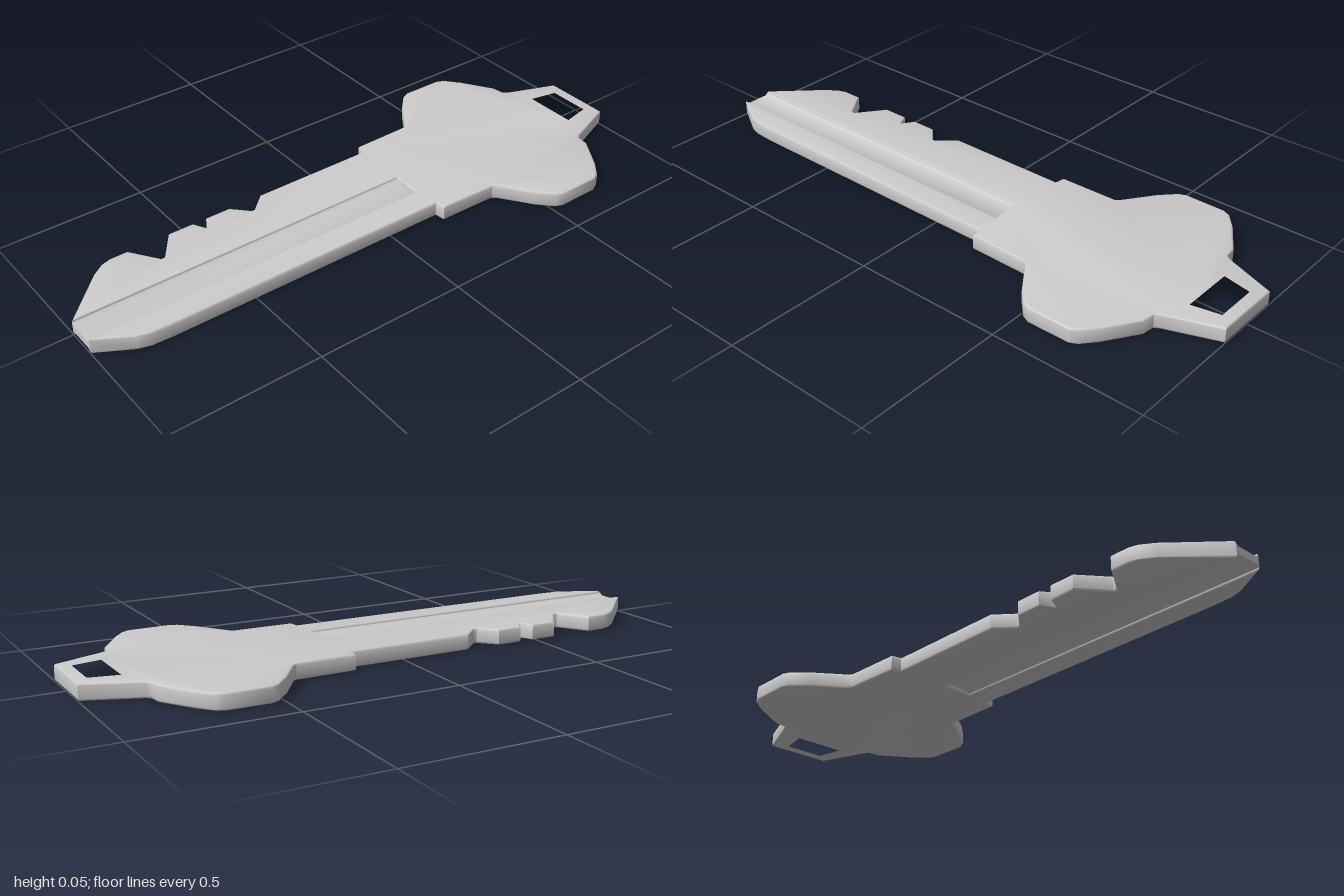
import * as THREE from 'three';
import { toCreasedNormals } from 'three/addons/utils/BufferGeometryUtils.js';

const THICK = 0.052, BEVEL = 0.007;
const GROOVE_X = 0.1, GROOVE_Z = -0.17;

// Points are [x, z] on the ground plane; shapes are drawn with y = -z.
const toPoints = (list) => list.map(([x, z]) => new THREE.Vector2(x, -z));
const mirror = (list) => list.map(([x, z]) => [-x, z]).reverse();

export function createModel() {
  const group = new THREE.Group();
  const material = new THREE.MeshStandardMaterial({ color: 0xcccccc });

  // Half outline of loop, head and collar, from the back to the blade
  const head = [
    [0.115, -1], [0.18, -0.83], [0.19, -0.817], [0.23, -0.812], [0.335, -0.745],
    [0.382, -0.705], [0.395, -0.68], [0.396, -0.54], [0.385, -0.515], [0.335, -0.468],
    [0.235, -0.398], [0.225, -0.385], [0.221, -0.185], [0.187, -0.18],
  ];
  // Plain edge of the blade, then the groove slot open at the tip
  const plainEdge = [[0.182, 0.78], [0.178, 0.85], [0.166, 0.89], [GROOVE_X, 1]];
  const slot = [[GROOVE_X, GROOVE_Z], [0, GROOVE_Z]];
  // Cut edge of the blade, from the tip back to the collar
  const cutEdge = [
    [0, 1], [-0.15, 0.85], [-0.178, 0.81], [-0.187, 0.78], [-0.187, 0.718], [-0.095, 0.655],
    [-0.095, 0.643], [-0.187, 0.575], [-0.187, 0.488], [-0.143, 0.466], [-0.187, 0.44],
    [-0.187, 0.355], [-0.134, 0.305], [-0.134, 0.295], [-0.187, 0.237],
  ];
  const outline = new THREE.Shape(
    toPoints([...head, ...plainEdge, ...slot, ...cutEdge, ...mirror(head)]));

  // Opening for the key ring
  outline.holes.push(new THREE.Path(
    toPoints([[-0.077, -0.967], [0.077, -0.967], [0.098, -0.86], [-0.098, -0.86]])));

  const bodyGeometry = new THREE.ExtrudeGeometry(outline, {
    depth: THICK - 2 * BEVEL,
    bevelEnabled: true, bevelThickness: BEVEL, bevelSize: BEVEL,
    bevelOffset: -BEVEL, bevelSegments: 3,
  });
  bodyGeometry.translate(0, 0, BEVEL).rotateX(-Math.PI / 2);
  const body = new THREE.Mesh(toCreasedNormals(bodyGeometry, 0.6), material);
  body.name = 'keyBody';
  group.add(body);

  // Thin web between the grooves on both faces, flared into the slot walls
  const web = new THREE.Shape([
    [0, 0.007], [0.01, 0.014], [0.09, 0.014], [GROOVE_X, 0.007],
    [GROOVE_X, 0.045], [0.09, 0.038], [0.01, 0.038], [0, 0.045],
  ].map(([x, y]) => new THREE.Vector2(x, y)));
  const webGeometry = new THREE.ExtrudeGeometry(web, { depth: 1 - GROOVE_Z, bevelEnabled: false });
  webGeometry.translate(0, 0, GROOVE_Z);
  const grooveWeb = new THREE.Mesh(toCreasedNormals(webGeometry, 0.7), material);
  grooveWeb.name = 'grooveWeb';
  group.add(grooveWeb);

  return group;
}
